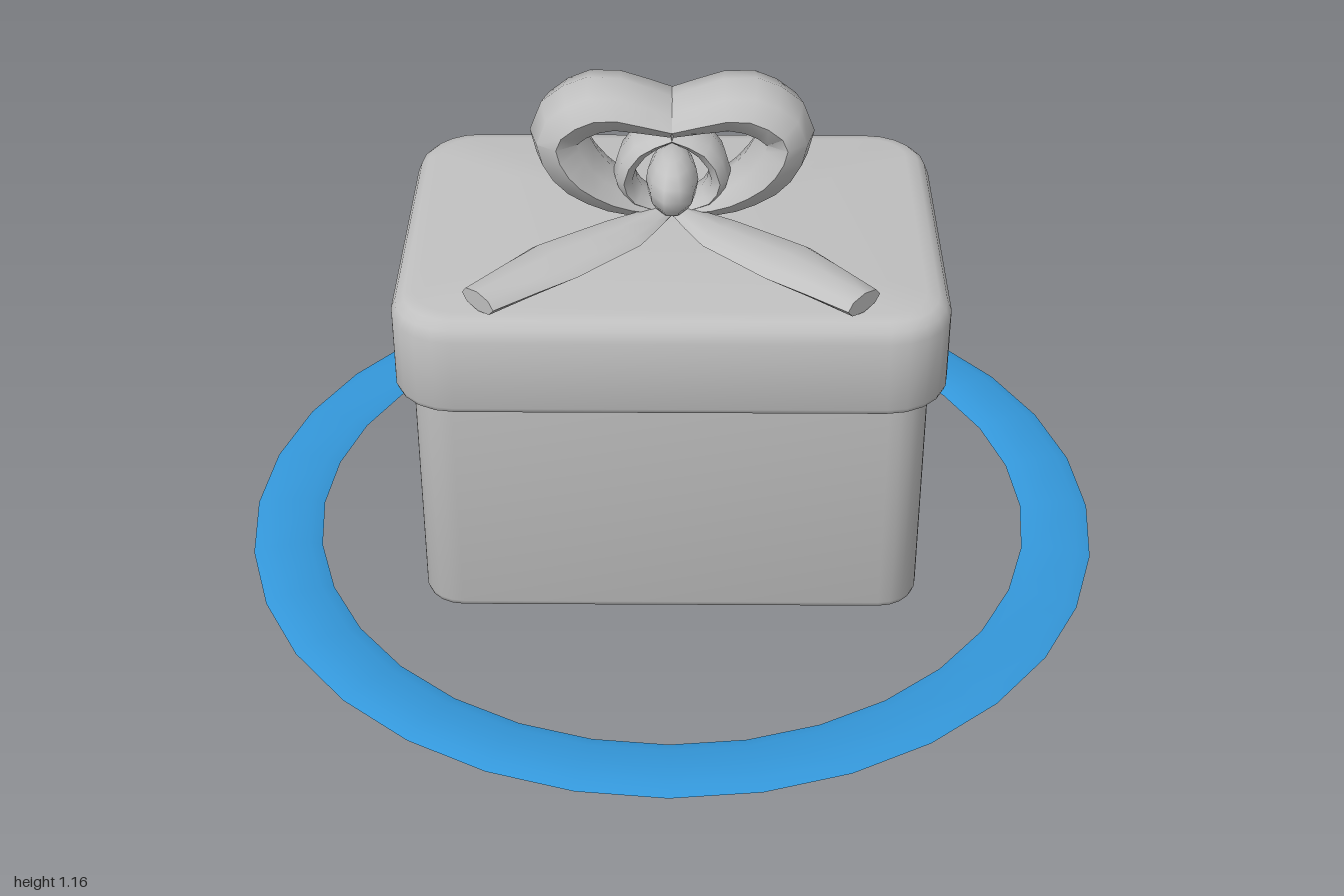
import * as THREE from 'three';
import { toCreasedNormals } from 'three/addons/utils/BufferGeometryUtils.js';

const grey = new THREE.MeshStandardMaterial({ color: 0xc0c0c0 });
grey.name = 'soft grey';
const blue = new THREE.MeshStandardMaterial({ color: 0x3498db });
blue.name = 'bright blue';

// Skin a row of equal cross-section rings, with optional fan caps
function loft(rings, capStart, capEnd, crease = 0.85) {
  const n = rings[0].length;
  const pos = [];
  const idx = [];
  rings.forEach(r => r.forEach(p => pos.push(p.x, p.y, p.z)));
  for (let i = 0; i < rings.length - 1; i++) {
    for (let j = 0; j < n; j++) {
      const k = (j + 1) % n;
      const a = i * n + j, b = i * n + k, c = a + n, d = b + n;
      idx.push(a, c, b, b, c, d);
    }
  }
  const cap = (row, flip) => {
    const centre = new THREE.Vector3();
    rings[row].forEach(p => centre.addScaledVector(p, 1 / n));
    const c = pos.length / 3;
    pos.push(centre.x, centre.y, centre.z);
    for (let j = 0; j < n; j++) {
      const a = row * n + j, b = row * n + (j + 1) % n;
      if (flip) idx.push(c, b, a);
      else idx.push(c, a, b);
    }
  };
  if (capStart) cap(0, false);
  if (capEnd) cap(rings.length - 1, true);
  const g = new THREE.BufferGeometry();
  g.setAttribute('position', new THREE.Float32BufferAttribute(pos, 3));
  g.setIndex(idx);
  g.computeVertexNormals();
  return toCreasedNormals(g, crease);
}

// Rounded rectangle ring in the xz plane
function roundedRing(hx, hz, radius, y, inset) {
  const r = Math.max(radius - inset, 0.02);
  const pts = [];
  const steps = 5;
  for (let q = 0; q < 4; q++) {
    const sx = q === 0 || q === 3 ? 1 : -1;
    const sz = q < 2 ? 1 : -1;
    for (let i = 0; i <= steps; i++) {
      const a = (q + i / steps) * Math.PI / 2;
      pts.push(new THREE.Vector3(
        sx * (hx - inset - r) + r * Math.cos(a), y,
        sz * (hz - inset - r) + r * Math.sin(a)));
    }
  }
  return pts;
}

// Ribbon swept along [x, y, z, halfWidth, halfThickness] stations
function ribbon(stations, segments, side) {
  const path = new THREE.CatmullRomCurve3(stations.map(s => new THREE.Vector3(s[0], s[1], s[2])));
  const rings = [];
  for (let i = 0; i <= segments; i++) {
    const u = i / segments;
    const p = path.getPoint(u);
    const t = path.getTangent(u);
    const s = side ? side.clone() : t.clone().cross(new THREE.Vector3(0, 1, 0)).normalize();
    const nrm = s.clone().cross(t).normalize();
    const f = u * (stations.length - 1);
    const k = Math.min(Math.floor(f), stations.length - 2);
    const w = THREE.MathUtils.lerp(stations[k][3], stations[k + 1][3], f - k);
    const h = THREE.MathUtils.lerp(stations[k][4], stations[k + 1][4], f - k);
    const ring = [];
    for (let j = 0; j < 8; j++) {
      const a = j * Math.PI / 4;
      ring.push(p.clone().addScaledVector(s, w * Math.cos(a)).addScaledVector(nrm, h * Math.sin(a)));
    }
    rings.push(ring);
  }
  return loft(rings, true, true);
}

export function createModel() {
  const model = new THREE.Group();
  model.name = 'giftBox';
  const add = (name, geometry, material, parent = model) => {
    const m = new THREE.Mesh(geometry, material);
    m.name = name;
    parent.add(m);
    return m;
  };

  // Flat ring on the ground
  const ringProfile = [[0.84, 0.006], [0.88, 0], [0.96, 0], [1, 0.006], [0.97, 0.017], [0.87, 0.017], [0.84, 0.006]]
    .map(p => new THREE.Vector2(p[0], p[1]));
  add('groundRing', toCreasedNormals(new THREE.LatheGeometry(ringProfile, 32), 0.9), blue);

  // Box body, hollow underneath: inner ceiling, inner wall, rim, outer wall
  const bodyProfile = [[0.32, 0.025], [0.025, 0.025], [0.015, 0.012], [0.02, 0.004], [0.032, 0], [0.6, 0]];
  add('boxBody', loft(bodyProfile.map(([y, inset]) => roundedRing(0.56, 0.4, 0.09, y, inset)), true, false), grey);

  // Lid with softened edges
  const lidProfile = [[0.575, 0.06], [0.575, 0.014], [0.579, 0.004], [0.59, 0], [0.755, 0],
    [0.78, 0.01], [0.795, 0.028], [0.8, 0.055]];
  add('lid', loft(lidProfile.map(([y, inset]) => roundedRing(0.6, 0.44, 0.14, y, inset)), true, true), grey);

  // Bow: paired loops, petals and tails around a knot
  const bow = new THREE.Group();
  bow.name = 'bow';
  model.add(bow);
  const zAxis = new THREE.Vector3(0, 0, 1);
  const loopPath = [[0, 0.835, 0, 0.04, 0.015], [0.12, 0.875, 0, 0.075, 0.04], [0.215, 0.95, 0, 0.1, 0.06],
    [0.248, 1.04, 0, 0.1, 0.062], [0.16, 1.1, 0, 0.1, 0.06], [0, 1.072, 0, 0.1, 0.036]];
  const petalPath = [[0, 0.84, 0, 0.04, 0.01], [0.08, 0.875, 0, 0.06, 0.02], [0.105, 0.93, 0, 0.07, 0.025],
    [0.07, 1.0, 0, 0.07, 0.025], [0, 1.03, 0, 0.06, 0.015]];
  const tailPath = [[0.01, 0.845, 0.03, 0.02, 0.012], [0.11, 0.84, 0.13, 0.065, 0.02],
    [0.25, 0.834, 0.24, 0.08, 0.025], [0.405, 0.826, 0.385, 0.052, 0.024]];
  for (const sx of [1, -1]) {
    const label = sx > 0 ? 'left' : 'right';
    const mirror = path => path.map(([x, ...rest]) => [sx * x, ...rest]);
    add(label + 'Loop', ribbon(mirror(loopPath), 14, zAxis), grey, bow);
    add(label + 'Petal', ribbon(mirror(petalPath), 8, zAxis), grey, bow);
    add(label + 'Tail', ribbon(mirror(tailPath), 6), grey, bow);
  }

  // Knot at the heart of the bow
  const knot = add('knot', new THREE.SphereGeometry(1, 10, 8), grey, bow);
  knot.scale.set(0.058, 0.07, 0.115);
  knot.position.set(0, 0.905, 0);

  return model;
}
